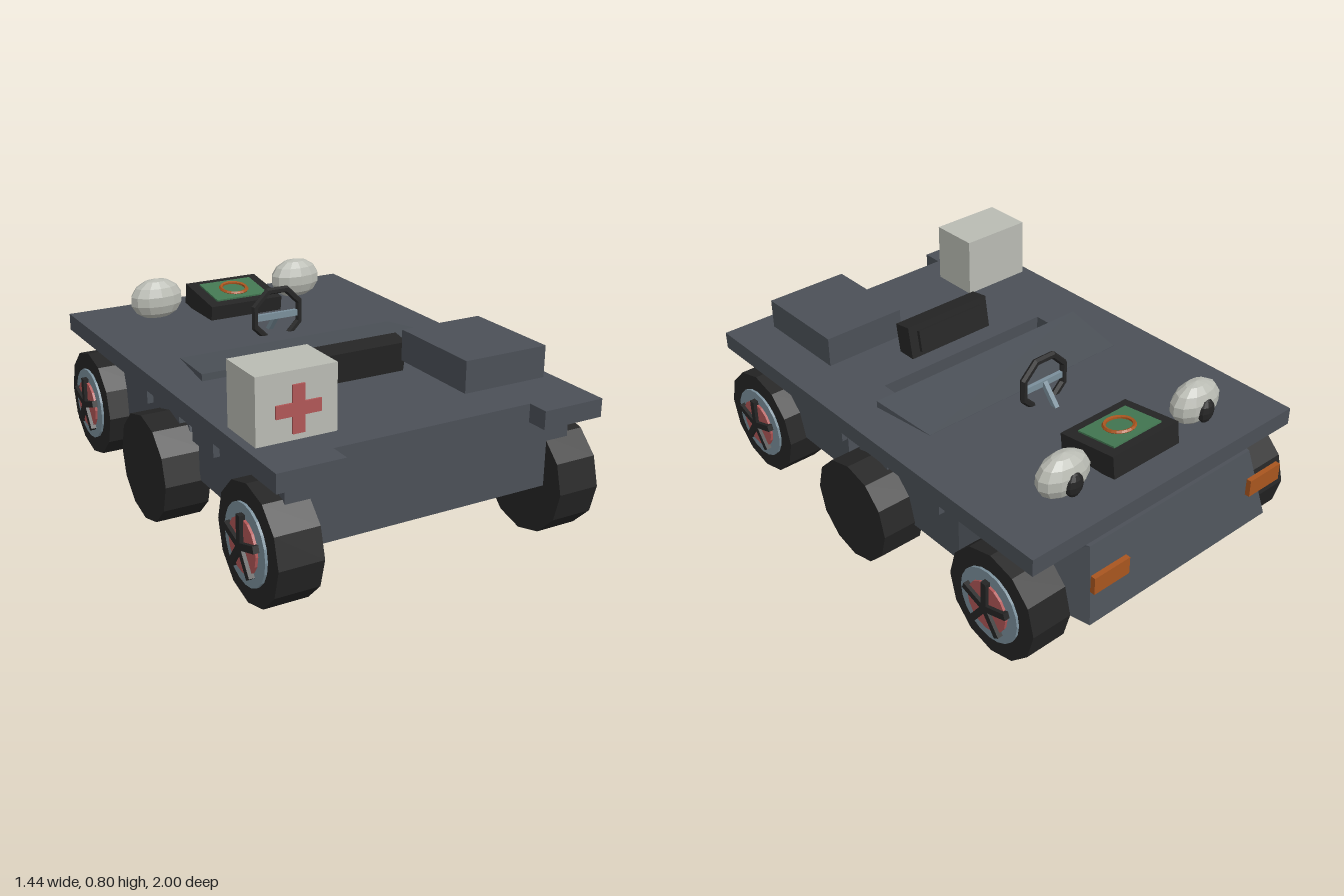
import * as THREE from 'three';

const paint = (name, color) => {
  const m = new THREE.MeshStandardMaterial({ color });
  m.name = name;
  m.flatShading = true;
  return m;
};

export function createModel() {
  const body = paint('slate grey', 0x4b5057);
  const black = paint('rubber black', 0x252525);
  const white = paint('warm white', 0xb9bbb3);
  const red = paint('soft red', 0xb05656);
  const steel = paint('blue grey', 0x7a8f9b);
  const green = paint('screen green', 0x437752);
  const orange = paint('burnt orange', 0xa8551f);

  const model = new THREE.Group();
  const add = (name, geo, mat, x = 0, y = 0, z = 0, parent = model) => {
    const mesh = new THREE.Mesh(geo, mat);
    mesh.name = name;
    mesh.position.set(x, y, z);
    parent.add(mesh);
    return mesh;
  };
  // Box given by its limits on each axis
  const block = (name, mat, x0, x1, y0, y1, z0, z1, parent = model) =>
    add(name, new THREE.BoxGeometry(x1 - x0, y1 - y0, z1 - z0), mat,
      (x0 + x1) / 2, (y0 + y1) / 2, (z0 + z1) / 2, parent);
  // Moves every vertex of a geometry by a rule
  const bend = (geo, rule) => {
    const p = geo.attributes.position;
    const v = new THREE.Vector3();
    for (let i = 0; i < p.count; i++) {
      rule(v.fromBufferAttribute(p, i));
      p.setXYZ(i, v.x, v.y, v.z);
    }
    geo.computeVertexNormals();
    return geo;
  };

  // Deck plate with front tabs and a slot for the seat
  const outline = [[-0.655, 0.89], [-0.655, -0.99], [-0.4, -0.99], [-0.4, -0.905],
    [0.4, -0.905], [0.4, -0.99], [0.655, -0.99], [0.655, 0.89]];
  const deckShape = new THREE.Shape(outline.map(([x, y]) => new THREE.Vector2(x, y)));
  const slot = [[-0.4, -0.14], [0.4, -0.14], [0.4, -0.24], [-0.4, -0.24]];
  deckShape.holes.push(new THREE.Path(slot.map(([x, y]) => new THREE.Vector2(x, y))));
  const deckGeo = new THREE.ExtrudeGeometry(deckShape, { depth: 0.07, bevelEnabled: false });
  deckGeo.rotateX(-Math.PI / 2);
  add('deck', deckGeo, body, 0, 0.49, 0);

  // Hull halves, the far one tapering to a slanted end
  block('hullFront', body, -0.58, 0.58, 0.225, 0.49, 0.25, 0.905);
  add('hullRear', bend(new THREE.BoxGeometry(2, 2, 2, 1, 1, 2), (v) => {
    const top = v.y > 0;
    const end = v.z < -0.5;
    v.x *= end ? (top ? 0.41 : 0.46) : 0.58;
    v.z = v.z > 0.5 ? (top ? 0.15 : 0.22) : end ? (top ? -0.905 : -0.97) : -0.42;
    v.y = top ? 0.49 : 0.21;
  }), body);

  // Raised wedge in front of the seat
  add('cockpitWedge', bend(new THREE.BoxGeometry(2, 2, 2), (v) => {
    const near = v.z > 0;
    v.x *= near ? 0.51 : 0.475;
    v.y = v.y < 0 ? 0.55 : near ? 0.588 : 0.561;
    v.z = near ? 0.14 : -0.135;
  }), body);

  // Wheels: tyre, rim, hub disc and five spokes, built facing +x
  const disc = (r, w, n) => new THREE.CylinderGeometry(r, r, w, n).rotateZ(-Math.PI / 2);
  const makeWheel = (side, z) => {
    const wheel = new THREE.Group();
    wheel.name = 'wheel';
    add('tyre', disc(0.22, 0.17, 12), black, 0, 0, 0, wheel);
    add('rim', disc(0.148, 0.02, 20), steel, 0.085, 0, 0, wheel);
    add('hubDisc', disc(0.1, 0.02, 16), red, 0.095, 0, 0, wheel);
    for (let i = 0; i < 5; i++) {
      const geo = new THREE.BoxGeometry(0.022, 0.115, 0.026);
      geo.translate(0.108, 0.057, 0);
      geo.rotateX(i * Math.PI * 2 / 5);
      add('spoke', geo, black, 0, 0, 0, wheel);
    }
    wheel.position.set(side * 0.57, 0.223, z);
    wheel.rotation.y = side > 0 ? 0 : Math.PI;
    model.add(wheel);
  };

  for (const s of [-1, 1]) {
    makeWheel(s, 0.782);
    makeWheel(s, -0.68);
    add('middleWheel', disc(0.21, 0.18, 12), black, s * 0.63, 0.225, 0.05);

    // Boxes under the deck edge
    for (const z of [0.34, 0.05, -0.255]) {
      add('sideBox', new THREE.BoxGeometry(0.06, 0.105, 0.175), body, s * 0.575, 0.4375, z);
    }

    // Signal lights on the slanted end
    add('signalLight', new THREE.BoxGeometry(0.165, 0.07, 0.02), orange, s * 0.395, 0.415, -0.99);

    // Domed lamps with dark lenses
    const dome = add('lampDome', new THREE.SphereGeometry(1, 12, 7), white, s * 0.335, 0.635, -0.688);
    dome.scale.set(0.117, 0.088, 0.067);
    const lens = add('lampLens', new THREE.SphereGeometry(1, 10, 6), black, s * 0.335, 0.62, -0.745);
    lens.scale.set(0.04, 0.05, 0.024);
  }

  // Tilted console with screen and dial ring
  const consoleUnit = new THREE.Group();
  consoleUnit.name = 'console';
  consoleUnit.position.set(0, 0.595, -0.635);
  consoleUnit.rotation.x = 0.14;
  model.add(consoleUnit);
  block('consoleCase', black, -0.165, 0.165, -0.045, 0.045, -0.132, 0.132, consoleUnit);
  block('consoleScreen', green, -0.12, 0.12, 0.045, 0.052, -0.092, 0.088, consoleUnit);
  const dial = add('dialRing', new THREE.TorusGeometry(0.056, 0.008, 5, 20), orange, 0, 0.055, 0, consoleUnit);
  dial.rotation.x = Math.PI / 2;

  // Steering wheel with crossbar and column
  const ring = new THREE.TorusGeometry(0.109, 0.015, 6, 8);
  ring.rotateZ(Math.PI / 8);
  add('steeringRing', ring, black, 0, 0.64, -0.23);
  block('steeringBar', steel, -0.1, 0.1, 0.622, 0.648, -0.238, -0.222);
  const column = add('steeringColumn', new THREE.BoxGeometry(0.02, 0.11, 0.02), steel, 0, 0.595, -0.267);
  column.rotation.x = 0.7;

  // Seat cushion in the slot and the leaning backrest
  const cushion = add('seatCushion', new THREE.BoxGeometry(0.4, 0.08, 0.12), black, 0, 0.45, 0.195);
  cushion.rotation.x = -0.2;
  const back = new THREE.Group();
  back.name = 'backrest';
  back.position.set(0, 0.618, 0.365);
  back.rotation.x = 0.17;
  model.add(back);
  block('backrestShell', black, -0.2, 0.2, -0.07, 0.07, -0.035, 0.045, back);
  block('backrestPad', black, -0.16, 0.16, -0.045, 0.045, -0.05, -0.034, back);

  // Raised cargo box and first aid box
  block('cargoBox', body, 0.175, 0.52, 0.612, 0.732, 0.425, 0.825);
  block('firstAidBox', white, -0.62, -0.315, 0.56, 0.803, 0.58, 0.785);
  block('crossUpright', red, -0.493, -0.447, 0.59, 0.76, 0.797, 0.805);
  for (const s of [-1, 1]) {
    add('crossArm', new THREE.BoxGeometry(0.062, 0.046, 0.008), red, -0.47 + s * 0.054, 0.675, 0.801);
  }

  return model;
}
